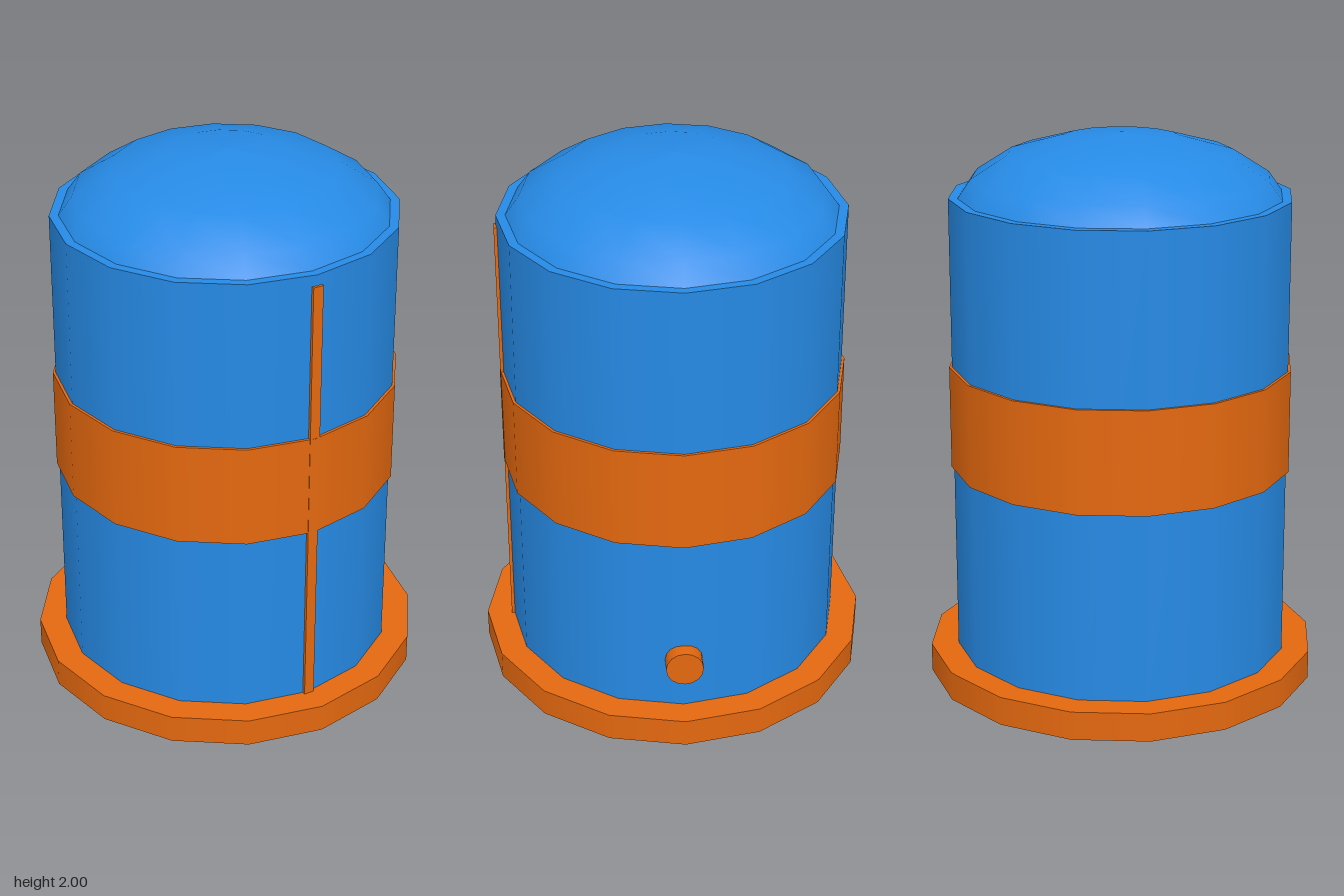
import * as THREE from 'three';

const SIDES = 16;

export function createModel() {
  const blue = new THREE.MeshStandardMaterial({ color: 0x268ae5 });
  blue.name = 'blue';
  const orange = new THREE.MeshStandardMaterial({ color: 0xe4680f });
  orange.name = 'orange';
  const model = new THREE.Group();
  model.name = 'canister';

  function add(name, geometry, material, x = 0, y = 0, z = 0) {
    const mesh = new THREE.Mesh(geometry, material);
    mesh.name = name;
    mesh.position.set(x, y, z);
    model.add(mesh);
    return mesh;
  }

  // upright closed drum between two heights
  function drum(name, radius, bottom, top, material) {
    const geometry = new THREE.CylinderGeometry(radius, radius, top - bottom, SIDES);
    return add(name, geometry, material, 0, (bottom + top) / 2, 0);
  }

  drum('base', 0.71, 0, 0.105, orange);
  drum('body', 0.61, 0.05, 1.78, blue);
  drum('band', 0.62, 0.795, 1.17, orange);

  // shallow domed lid, set slightly inside the body rim
  const profile = [[0.577, 1.78], [0.53, 1.846], [0.4, 1.929], [0.207, 1.983], [0, 2]]
    .map(([r, y]) => new THREE.Vector2(r, y));
  add('lid', new THREE.LatheGeometry(profile, SIDES), blue);

  // vertical strip down the front
  add('frontStrip', new THREE.BoxGeometry(0.038, 1.64, 0.03), orange, 0, 0.92, 0.603);

  // round knob low on the left side
  const knob = new THREE.CylinderGeometry(0.067, 0.067, 0.08, SIDES).rotateZ(-Math.PI / 2);
  add('sideKnob', knob, orange, 0.618, 0.3, 0);

  return model;
}
